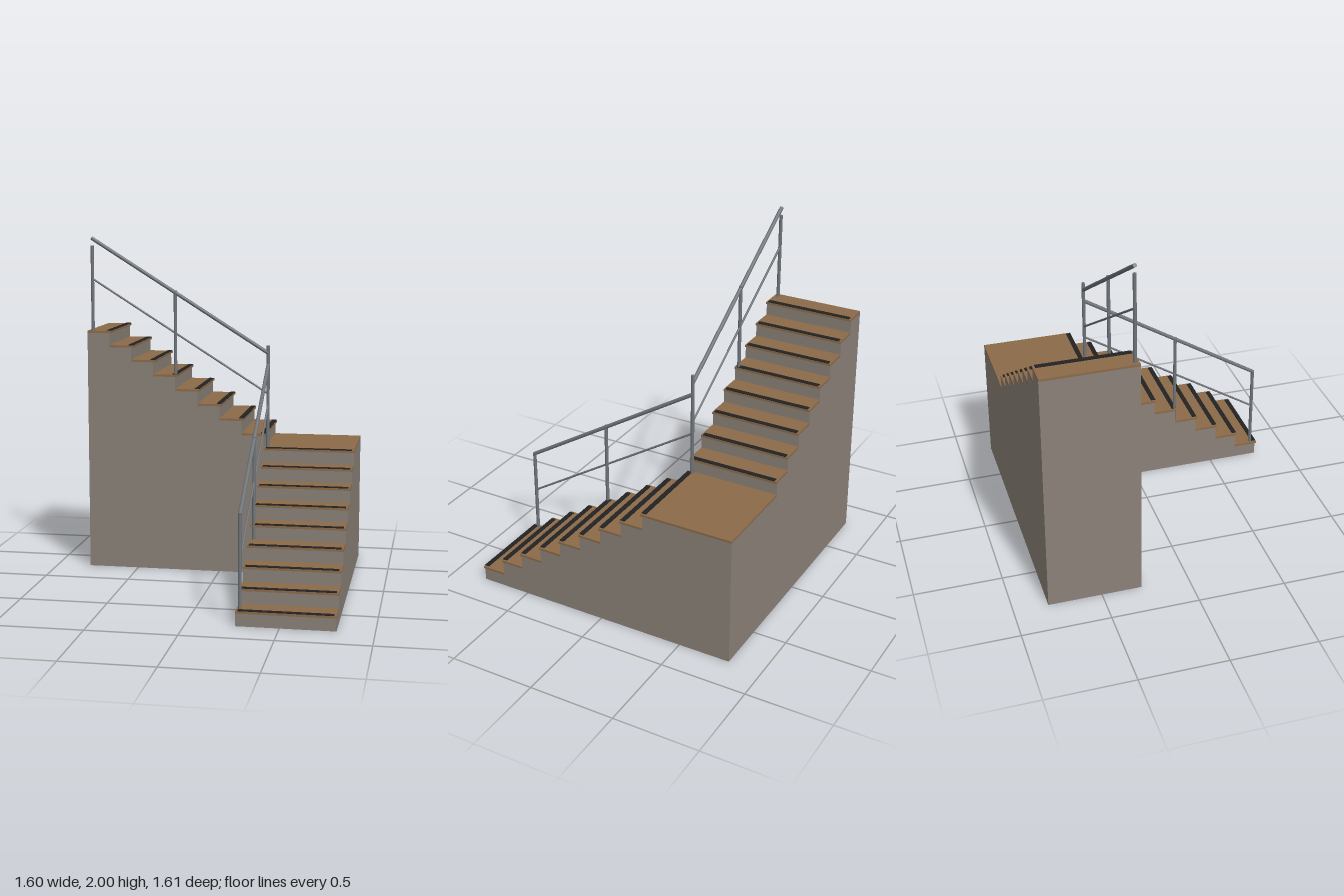
import * as THREE from 'three';

const RISE = 0.0848, RUN = 0.1333, WIDTH = 0.533, STEPS = 8;
const TREAD = 0.013, NOSE = 0.01, STRIP = 0.004;
const X0 = 0.267, Z0 = 0.795, BACK = -0.805;   // flight inner edge, first riser, back wall

export function createModel() {
  const group = new THREE.Group();
  const material = (name, color) => {
    const m = new THREE.MeshStandardMaterial({ color });
    m.name = name;
    return m;
  };
  const concrete = material('concrete', 0x8a8178);
  const wood = material('wood', 0x8b6b4a);
  const rubber = material('black rubber', 0x222222);
  const steel = material('steel', 0x70757a);

  const add = (parent, name, geometry, mat) => {
    const mesh = new THREE.Mesh(geometry, mat);
    mesh.name = name;
    parent.add(mesh);
    return mesh;
  };
  const box = (parent, name, mat, x0, x1, y0, y1, z0, z1) =>
    add(parent, name, new THREE.BoxGeometry(x1 - x0, y1 - y0, z1 - z0), mat)
      .position.set((x0 + x1) / 2, (y0 + y1) / 2, (z0 + z1) / 2);

  // Stepped solid: climbs along local +x from 0, extruded along local +z
  const steppedBase = (firstTop, landing) => {
    const s = new THREE.Shape();
    s.moveTo(0, 0);
    for (let i = 0; i < STEPS; i++) {
      const y = firstTop + i * RISE - TREAD;
      s.lineTo(i * RUN, y);
      s.lineTo((i + 1) * RUN, y);
    }
    let end = STEPS * RUN;
    if (landing) {
      const y = firstTop + STEPS * RISE - TREAD;
      s.lineTo(end, y);
      end += landing;
      s.lineTo(end, y);
    }
    s.lineTo(end, 0);
    s.closePath();
    return new THREE.ExtrudeGeometry(s, { depth: WIDTH, bevelEnabled: false });
  };

  // One flight in local space: treads with anti-slip strips on a solid base
  const flight = (name, firstTop, landing) => {
    const f = new THREE.Group();
    f.name = name;
    add(f, 'base', steppedBase(firstTop, landing), concrete);
    const count = landing ? STEPS + 1 : STEPS;
    for (let i = 0; i < count; i++) {
      const x = i * RUN, y = firstTop + i * RISE;
      const depth = i === STEPS ? landing : RUN;
      box(f, i === STEPS ? 'landingDeck' : 'tread', wood, x - NOSE, x + depth, y - TREAD, y, 0, WIDTH);
      box(f, 'antiSlipStrip', rubber, x - NOSE + 0.001, x + 0.018, y, y + STRIP, 0.012, WIDTH - 0.012);
    }
    group.add(f);
    return f;
  };

  // Lower flight climbs towards the back and ends in the corner landing
  const lower = flight('lowerFlight', RISE, WIDTH);
  lower.rotation.y = Math.PI / 2;
  lower.position.set(X0, 0, Z0);

  // Upper flight climbs from the landing towards -x
  const upper = flight('upperFlight', RISE * 10, 0);
  upper.rotation.y = Math.PI;
  upper.position.set(X0, 0, BACK + WIDTH);

  // Straight round bar between two points
  const railing = new THREE.Group();
  railing.name = 'railing';
  group.add(railing);
  const bar = (name, a, b, radius) => {
    const p = new THREE.Vector3(...a), q = new THREE.Vector3(...b);
    const d = q.clone().sub(p);
    const mesh = add(railing, name, new THREE.CylinderGeometry(radius, radius, d.length(), 12), steel);
    mesh.position.copy(p).add(q).multiplyScalar(0.5);
    mesh.quaternion.setFromUnitVectors(new THREE.Vector3(0, 1, 0), d.normalize());
  };
  const RX = 0.287, RZ = -0.295;

  // Posts: lower flight, corner, upper flight
  for (const [x, z, y0, y1] of [
    [RX, 0.768, 0.08, 0.6], [RX, 0.263, 0.34, 0.92], [RX, RZ, 0.755, 1.37],
    [-0.268, RZ, 1.18, 1.685], [-0.77, RZ, 1.435, 1.945],
  ]) bar('post', [x, y0, z], [x, y1, z], 0.01);

  // Handrails and thinner middle rails
  bar('lowerHandrail', [RX, 0.595, 0.772], [RX, 1.255, RZ], 0.011);
  bar('lowerMiddleRail', [RX, 0.35, 0.768], [RX, 1.015, RZ], 0.006);
  bar('upperHandrail', [RX, 1.325, RZ], [-0.774, 1.99, RZ], 0.011);
  bar('upperMiddleRail', [RX, 1.085, RZ], [-0.77, 1.75, RZ], 0.006);

  return group;
}
